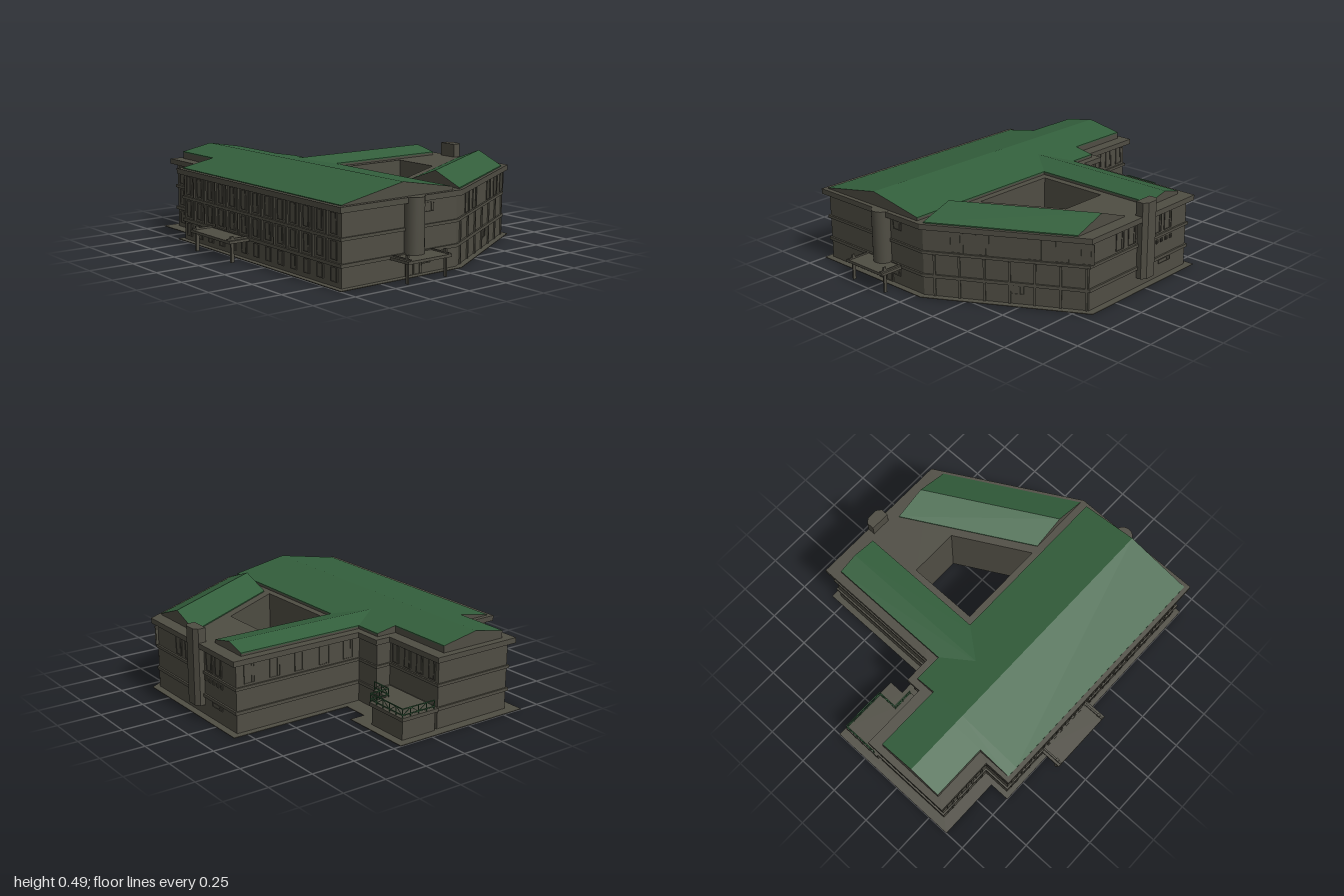
import * as THREE from 'three';

const mat = (name, color) => Object.assign(new THREE.MeshStandardMaterial({ color }), { name });

export function createModel() {
  const model = new THREE.Group();
  const wall = mat('stone grey', 0x4f4d43);
  const green = mat('roof green', 0x335f3c);

  const add = (name, geo, material, parent = model) => {
    const m = new THREE.Mesh(geo, material);
    m.name = name;
    parent.add(m);
    return m;
  };
  const box = (name, x0, x1, y0, y1, z0, z1, material = wall, parent = model) => {
    const g = new THREE.BoxGeometry(x1 - x0, y1 - y0, z1 - z0);
    g.translate((x0 + x1) / 2, (y0 + y1) / 2, (z0 + z1) / 2);
    return add(name, g, material, parent);
  };

  // Moves every edge of a plan [x, z] inwards by d (outwards if negative)
  const inset = (pts, d) => pts.map((p, i) => {
    const n = pts.length, a = pts[(i + n - 1) % n], b = pts[(i + 1) % n];
    const normal = (s, e) => {
      const l = Math.hypot(e[0] - s[0], e[1] - s[1]);
      return [-(e[1] - s[1]) / l, (e[0] - s[0]) / l];
    };
    const n1 = normal(a, p), n2 = normal(p, b);
    const k = d / (1 + n1[0] * n2[0] + n1[1] * n2[1]);
    return [p[0] + (n1[0] + n2[0]) * k, p[1] + (n1[1] + n2[1]) * k];
  });
  // Raises a plan with optional holes from y0 to y1; holes run the other way round
  const slab = (name, pts, holes, y0, y1) => {
    const v = (q) => q.map(([x, z]) => new THREE.Vector2(x, -z));
    const s = new THREE.Shape(v(pts));
    holes.forEach((h) => s.holes.push(new THREE.Path(v(h).reverse())));
    const g = new THREE.ExtrudeGeometry(s, { depth: y1 - y0, bevelEnabled: false });
    g.rotateX(-Math.PI / 2).translate(0, y0, 0);
    return add(name, g, wall);
  };

  // Plans
  const eave = [[-0.75, -0.63], [-0.59, -0.63], [-0.59, -0.975], [-0.05, -0.975], [-0.05, -0.58],
    [0.04, -0.58], [0.04, -0.425], [0.825, -0.425], [0.825, 0.44], [0.04, 0.885], [-0.75, 0.885]];
  const court = [[0.04, -0.08], [0.45, -0.08], [0.45, 0.21], [0.04, 0.44]];
  const pavement = [[-0.75, -0.63], [-0.63, -0.63], [-0.63, -1], [0.205, -1], [0.205, -0.58],
    [0.115, -0.58], [0.115, -0.43], [0.835, -0.43], [0.835, 0.44], [0.04, 0.89], [-0.75, 0.89]];
  const terrace = [[-0.07, -0.965], [0.17, -0.965], [0.17, -0.69], [0.05, -0.69], [0.05, -0.57], [-0.07, -0.57]];
  const outer = inset(eave, 0.03);
  const footprint = inset([...eave.slice(0, 3), [0.187, -0.975], [0.187, -0.672], [0.067, -0.672],
    [0.067, -0.55], [0.04, -0.55], ...eave.slice(6)], 0.04);

  // Hollow shell, floor ledges and eaves slab
  slab('pavement', pavement, [footprint], 0, 0.004);
  slab('outerWalls', outer, [inset(outer, 0.015)], 0, 0.39);
  slab('courtyardWalls', inset(court, -0.015), [court], 0, 0.39);
  [[0.108, 0.126], [0.24, 0.256]].forEach(([a, b]) =>
    slab('floorLedge', inset(eave, 0.02), [inset(eave, 0.05)], a, b));
  slab('eavesSlab', eave, [court], 0.382, 0.412);

  // Low terrace block with railing
  slab('terraceWalls', inset(terrace, 0.012), [inset(terrace, 0.026)], 0, 0.11);
  slab('terraceFloor', terrace, [], 0.11, 0.13);
  const rail = terrace.slice(0, 5).map(([x, z], i) => [i ? x - 0.006 : -0.045, z + (i < 2 ? 0.006 : -0.006)]);
  for (let i = 0; i < 4; i++) {
    const [a, b] = [rail[i], rail[i + 1]];
    const len = Math.hypot(b[0] - a[0], b[1] - a[1]);
    const g = new THREE.Group();
    g.name = 'terraceRailing';
    g.position.set(a[0], 0, a[1]);
    g.rotation.y = -Math.atan2(b[1] - a[1], b[0] - a[0]);
    model.add(g);
    [0.142, 0.176].forEach((y) => box('rail', 0, len, y, y + 0.005, -0.0025, 0.0025, green, g));
    const n = Math.max(2, Math.round(len / 0.05));
    for (let k = 0; k <= n; k++) {
      const x = (len * k) / n;
      box('railPost', x - 0.002, x + 0.002, 0.13, 0.18, -0.002, 0.002, green, g);
      if (k < n) {
        const brace = box('railBrace', -len / n / 2, len / n / 2, -0.0015, 0.0015, -0.0015, 0.0015, green, g);
        brace.position.set(x + len / n / 2, 0.161, 0);
        brace.rotation.z = (k % 2 ? -1 : 1) * 0.6;
      }
    }
  }

  // Pitched roofs: grey gable body under a thin green covering
  const pitched = (name, prof, length, place) => {
    const layer = (part, pts, mats) => {
      const s = new THREE.Shape(pts.map(([u, y]) => new THREE.Vector2(u, y)));
      const g = new THREE.ExtrudeGeometry(s, { depth: length, bevelEnabled: false });
      place(g);
      g.computeVertexNormals();
      add(name + part, g, mats);
    };
    const under = prof.map(([u, y]) => [u, y - 0.006]);
    const [a, , c] = prof;
    layer('Gable', [[a[0], 0.405], [c[0], 0.405], under[2], under[1], under[0]], wall);
    layer('Covering', [...under, ...[...prof].reverse()], [wall, green]);
  };
  const ridge = [-0.335, 0.49], left = [-0.725, 0.416], inner = [-0.12, 0.4515];
  pitched('mainRoof', [left, ridge, [0, 0.43]], 1.4, (g) => g.translate(0, 0, -0.54));
  pitched('mainRoofEnd', [left, ridge, inner], 0.065, (g) => g.translate(0, 0, -0.605));
  pitched('backRoof', [[-0.525, 0.454], ridge, inner], 0.33, (g) => g.translate(0, 0, -0.935));
  pitched('sideRoof', [[0.12, 0.43], [0.26, 0.461], [0.375, 0.43]], 0.95,
    (g) => g.rotateY(Math.PI / 2).translate(-0.2, 0, 0));
  pitched('slantedRoof', [[-0.86, 0.418], [-0.675, 0.486], [-0.49, 0.418]], 0.705, (g) => {
    g.rotateY(Math.PI / 2);
    const p = g.attributes.position;
    for (let i = 0; i < p.count; i++) p.setZ(i, p.getZ(i) - p.getX(i) * 0.565);
    g.translate(0.045, 0, 0);
  });

  // Facade helper: local +z points outwards, x runs from a to b
  const facade = (name, a, b) => {
    const g = new THREE.Group();
    g.name = name;
    g.position.set(a[0], 0, a[1]);
    g.rotation.y = -Math.atan2(b[1] - a[1], b[0] - a[0]);
    model.add(g);
    return { g, len: Math.hypot(b[0] - a[0], b[1] - a[1]) };
  };
  // Window: shallow pane with a frame and one off-centre mullion
  const windowAt = (g, x, y0, y1, w) => {
    box('windowPane', x - w / 2, x + w / 2, y0, y1, -0.002, 0.002, wall, g);
    [-w / 2, w / 4, w / 2].forEach((d) => box('windowFrame', x + d - 0.0015, x + d + 0.0015, y0, y1, 0, 0.005, wall, g));
    [y0, y1].forEach((y) => box('windowFrame', x - w / 2, x + w / 2, y - 0.0015, y + 0.0015, 0, 0.005, wall, g));
  };
  const bays = (f, n, w, floors, piers = true) => {
    for (let i = 0; i < n; i++) {
      const x = ((i + 0.5) * f.len) / n;
      floors.forEach(([a, b]) => windowAt(f.g, x, a, b, w));
    }
    if (piers) for (let i = 1; i < n; i++) {
      const x = (i * f.len) / n;
      box('pier', x - 0.006, x + 0.006, 0.126, 0.382, 0, 0.008, wall, f.g);
    }
  };
  const up = [0.268, 0.37], mid = [0.14, 0.23], low = [0.03, 0.1];
  const o = outer;
  bays(facade('leftLongFacade', o[0], o[10]), 13, 0.05, [low, mid, up]);
  bays(facade('backBlockSide', o[2], o[1]), 3, 0.05, [low, mid, up]);
  bays(facade('sideWingBack', o[7], o[6]), 5, 0.06, [up], false);
  bays(facade('backBlockInner', o[4], o[3]), 4, 0.05, [up], false);

  // Slanted front: upper windows above two storeys of slim piers
  const slant = facade('slantedFacade', o[9], o[8]);
  [0.15, 0.27, 0.51, 0.635, 0.75].forEach((x) => windowAt(slant.g, (x + 0.01) * 1.14, 0.26, 0.37, 0.068));
  for (let i = 0; i < 7; i++) {
    const x = 0.06 + i * 0.134;
    [[0.004, 0.108], [0.126, 0.236]].forEach(([a, b]) => box('slimPier', x - 0.006, x + 0.006, a, b, 0, 0.008, wall, slant.g));
  }
  windowAt(slant.g, 0.5, 0.06, 0.105, 0.07);

  // Chimney side
  const right = facade('chimneyFacade', o[8], o[7]);
  [0.24, 0.34, 0.56, 0.65].forEach((x) => windowAt(right.g, x, 0.268, 0.37, 0.06));
  for (let i = 0; i < 5; i++) windowAt(right.g, 0.52 + i * 0.04, 0.205, 0.225, 0.016);
  windowAt(right.g, 0.63, 0.08, 0.1, 0.1);
  slab('chimney', [[0.78, -0.08], [0.825, -0.08], [0.845, -0.055], [0.845, 0.01], [0.825, 0.035], [0.78, 0.035]],
    [], 0.06, 0.49);

  // Front entrance: round bay, door and canopy
  const front = facade('frontFacade', o[10], o[9]);
  [[-0.16, 0.32, 0.365], [-0.18, 0.055, 0.105]].forEach(([x, a, b]) => windowAt(front.g, x + 0.72, a, b, 0.06));
  [-0.29, -0.235].forEach((x) => windowAt(front.g, x + 0.72, 0.006, 0.1, 0.05));
  const bay = new THREE.CylinderGeometry(0.055, 0.055, 0.295, 24);
  bay.translate(-0.27, 0.265, 0.868);
  add('roundBay', bay, wall);
  box('frontCanopy', -0.42, -0.13, 0.105, 0.12, 0.85, 1);
  [-0.4, -0.147].forEach((x) => {
    box('frontCanopyPost', x - 0.004, x + 0.004, 0, 0.145, 0.96, 0.978);
    box('frontCanopyBeam', x - 0.004, x + 0.004, 0.12, 0.128, 0.86, 1);
  });

  // Side canopy
  box('sideCanopy', -0.853, -0.71, 0.105, 0.12, -0.32, 0.07);
  [-0.3, 0.05].forEach((z) => {
    box('sideCanopyPost', -0.833, -0.815, 0, 0.14, z - 0.007, z + 0.007);
    box('sideCanopyBeam', -0.853, -0.72, 0.12, 0.13, z - 0.005, z + 0.005);
  });
  return model;
}
